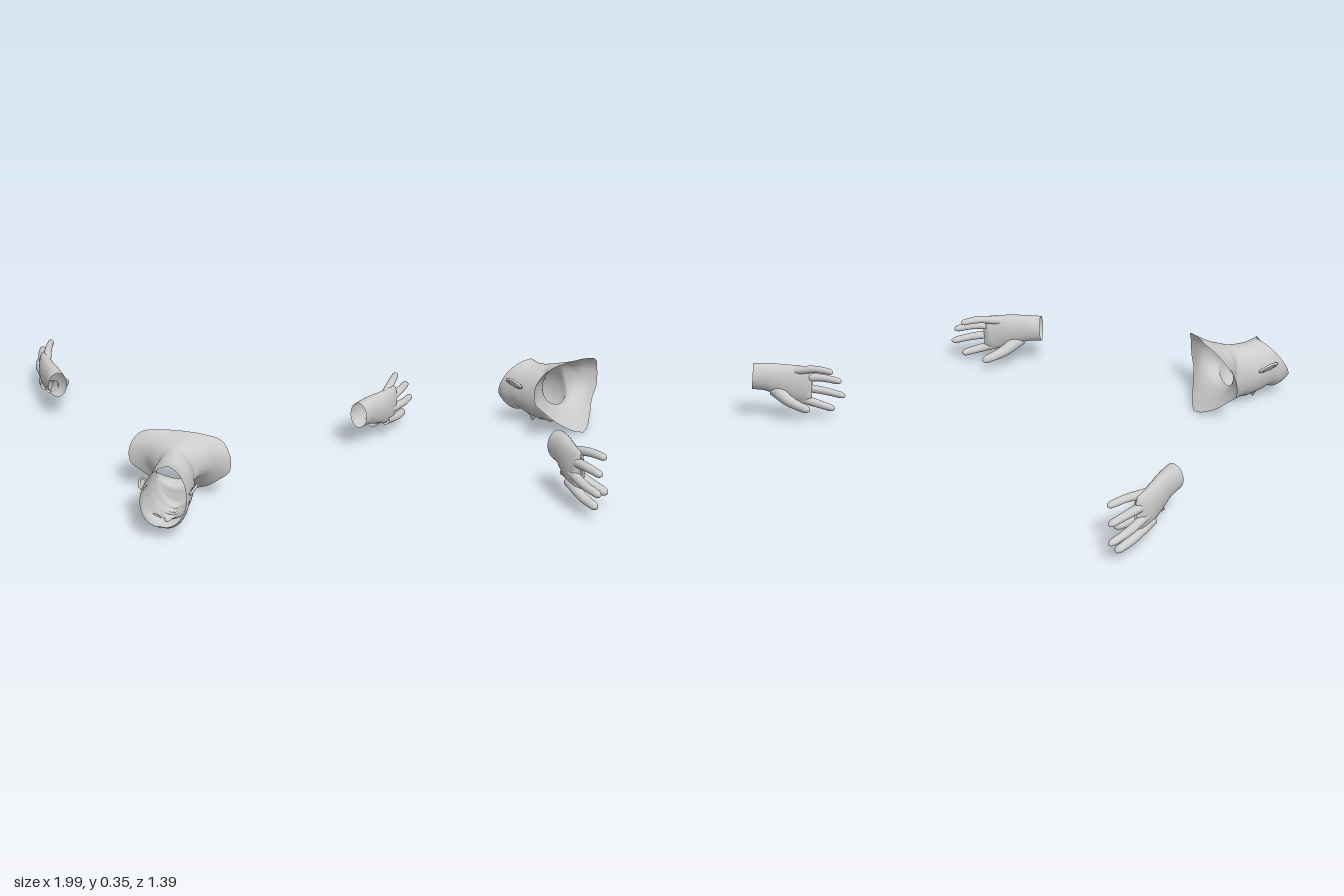
import * as THREE from 'three';

const V = (x, y, z) => new THREE.Vector3(x, y, z);
const material = new THREE.MeshStandardMaterial({ color: 0xcccccc, side: THREE.DoubleSide });

function mesh(name, geometry) {
  const m = new THREE.Mesh(geometry, material);
  m.name = name;
  return m;
}

// Skin closed rings of points into one smooth surface; skip(corners) leaves holes
function skin(rings, skip = () => false) {
  const n = rings[0].length, index = [];
  for (let i = 0; i < rings.length - 1; i++) {
    for (let j = 0; j < n; j++) {
      const k = (j + 1) % n;
      const a = i * n + j, b = i * n + k, c = a + n, d = b + n;
      if (!skip([a, b, c, d])) index.push(a, b, c, b, d, c);
    }
  }
  const g = new THREE.BufferGeometry().setFromPoints(rings.flat());
  g.setIndex(index);
  g.computeVertexNormals();
  return g;
}

// Sweep an ellipse along a curve; size(s) returns [half thickness, half height]
function sweep(points, stops, size, sides = 24) {
  const curve = new THREE.CatmullRomCurve3(points);
  return skin(stops.map(s => {
    const p = curve.getPoint(s), d = curve.getTangent(s);
    const side = V(-d.z, 0, d.x).normalize();
    const up = side.clone().cross(d).normalize();
    const [a, b] = size(s);
    return Array.from({ length: sides }, (_, j) => {
      const t = j / sides * Math.PI * 2;
      return p.clone().addScaledVector(side, a * Math.cos(t)).addScaledVector(up, b * Math.sin(t));
    });
  }));
}

// Head sections: front z, front y, back z, back y, half width
const sections = [
  [.69, .095, .555, .325, .105], [.66, .07, .55, .322, .108], [.63, .058, .54, .318, .108],
  [.60, .066, .525, .314, .107], [.57, .06, .51, .311, .105], [.54, .05, .49, .311, .103],
  [.51, .042, .47, .312, .102], [.48, .038, .455, .314, .10], [.45, .038, .44, .317, .097],
  [.42, .03, .425, .32, .093], [.398, .037, .41, .323, .09], [.39, .075, .40, .325, .09],
  [.385, .112, .385, .328, .10], [.36, .127, .37, .332, .12], [.33, .127, .34, .338, .16],
];

// Face relief: x, z, spread x, spread z, change in y
const relief = [
  [0, .567, .012, .025, -.02], [0, .54, .015, .014, -.035],
  [0, .487, .026, .008, -.015], [0, .464, .022, .008, -.013], [0, .418, .022, .014, -.006],
];
for (const s of [-1, 1]) {
  relief.push([s * .015, .531, .009, .009, -.012]);
  relief.push([s * .043, .588, .022, .014, .01]);
  relief.push([s * .042, .617, .026, .011, -.006]);
}

function headGeometry() {
  const cols = 128, rows = 128;
  // Rim of the flared collar, from nape to chest tip
  const rim = new THREE.CatmullRomCurve3([
    V(0, .353, .275), V(.1, .35, .28), V(.19, .33, .285), V(.235, .27, .31), V(.235, .185, .315),
    V(.18, .125, .30), V(.12, .065, .265), V(.05, .02, .225), V(0, .005, .21),
  ]);
  const columns = [];
  for (let j = 0; j < cols; j++) {
    const t = j / cols * Math.PI * 2, c = Math.cos(t), s = Math.sin(t);
    const pts = sections.map(([fz, fy, bz, by, w], i) => {
      const bulge = .035 * Math.max(0, 1 - i / 8) * Math.abs(s);
      return V(w * s, (fy + by) / 2 + (by - fy) / 2 * c, (fz + bz) / 2 + (bz - fz) / 2 * c + bulge);
    });
    const u = j / cols * 2;
    const edge = rim.getPoint(u <= 1 ? u : 2 - u);
    if (u > 1) edge.x *= -1;
    pts.push(edge);
    columns.push(new THREE.CatmullRomCurve3(pts));
  }
  const rings = [], inEye = [];
  for (let i = 0; i <= rows; i++) {
    rings.push(columns.map((curve, j) => {
      const p = curve.getPoint(i / rows);
      const front = THREE.MathUtils.smoothstep(-Math.cos(j / cols * Math.PI * 2), .1, .6);
      let dy = 0;
      for (const [x, z, sx, sz, h] of relief) {
        dy += h * Math.exp(-(((p.x - x) / sx) ** 2) - ((p.z - z) / sz) ** 2);
      }
      p.y += dy * front;
      // Vertices inside an eye opening move out to its edge
      const ex = Math.sign(p.x) * .044, ez = .587;
      const r = Math.hypot((p.x - ex) / .02, (p.z - ez) / .008);
      const hit = front > .2 && r < 1;
      inEye.push(hit);
      if (hit) {
        const k = 1 / Math.max(r, .01);
        p.x = ex + (p.x - ex) * k;
        p.z = ez + (p.z - ez) * k;
      }
      return p;
    }));
  }
  return skin(rings, corners => corners.every(v => inEye[v]));
}

// Ear: raised rim around a shallow bowl, trailing edge tilted outward
function ear(side) {
  const g = new THREE.Group();
  g.name = side > 0 ? 'leftEar' : 'rightEar';
  const rim = new THREE.TorusGeometry(1, .22, 12, 40).rotateY(Math.PI / 2).scale(.028, .021, .044);
  const bowl = new THREE.SphereGeometry(1, 24, 16).scale(.006, .021, .044);
  g.add(mesh('earRim', rim), mesh('earBowl', bowl));
  g.position.set(side * .117, .222, .555);
  g.rotation.set(-.22, 0, -side * .6);
  return g;
}

// Palm stations: x, y, z, half thickness, half height
const palm = [
  [.76, .217, -.28, .048, .066], [.80, .215, -.345, .043, .071], [.845, .2, -.41, .041, .083],
  [.88, .186, -.465, .035, .093], [.905, .18, -.515, .026, .092], [.917, .18, -.537, .004, .07],
];

// Fingers: base, middle and tip points, then base and tip radius
const fingers = {
  littleFinger: [[.87, .252, -.46], [.893, .27, -.57], [.905, .265, -.66], .021, .015],
  ringFinger: [[.89, .215, -.47], [.935, .22, -.58], [.96, .21, -.68], .022, .016],
  middleFinger: [[.895, .165, -.47], [.953, .15, -.58], [.985, .132, -.692], .022, .016],
  indexFinger: [[.88, .118, -.44], [.932, .084, -.56], [.955, .064, -.65], .024, .017],
  thumb: [[.825, .15, -.375], [.812, .105, -.47], [.81, .075, -.59], .036, .019],
};

function hand(name) {
  const g = new THREE.Group();
  g.name = name;
  const span = palm.length - 1;
  const steps = Array.from({ length: 31 }, (_, i) => i / 30);
  g.add(mesh('palm', sweep(palm.map(([x, y, z]) => V(x, y, z)), steps, s => {
    const i = Math.min(span - 1, Math.floor(s * span)), f = s * span - i;
    return [3, 4].map(k => THREE.MathUtils.lerp(palm[i][k], palm[i + 1][k], f));
  }, 40)));
  // Even steps along the finger, then a rounded tip
  const cap = .87, stops = [];
  for (let i = 0; i < 16; i++) stops.push(i / 16 * cap);
  for (let i = 0; i <= 8; i++) stops.push(cap + (1 - cap) * Math.sin(i / 8 * Math.PI / 2));
  for (const [part, [a, b, c, r0, r1]] of Object.entries(fingers)) {
    g.add(mesh(part, sweep([V(...a), V(...b), V(...c)], stops, s => {
      const round = s > cap ? Math.sqrt(Math.max(0, 1 - ((s - cap) / (1 - cap)) ** 2)) : 1;
      const r = THREE.MathUtils.lerp(r0, r1, s) * round;
      return [r, r];
    })));
  }
  return g;
}

export function createModel() {
  const model = new THREE.Group();
  model.name = 'headAndHands';
  const left = hand('leftHand'), right = hand('rightHand');
  right.scale.x = -1;
  model.add(mesh('headAndCollar', headGeometry()), ear(1), ear(-1), left, right);
  return model;
}
